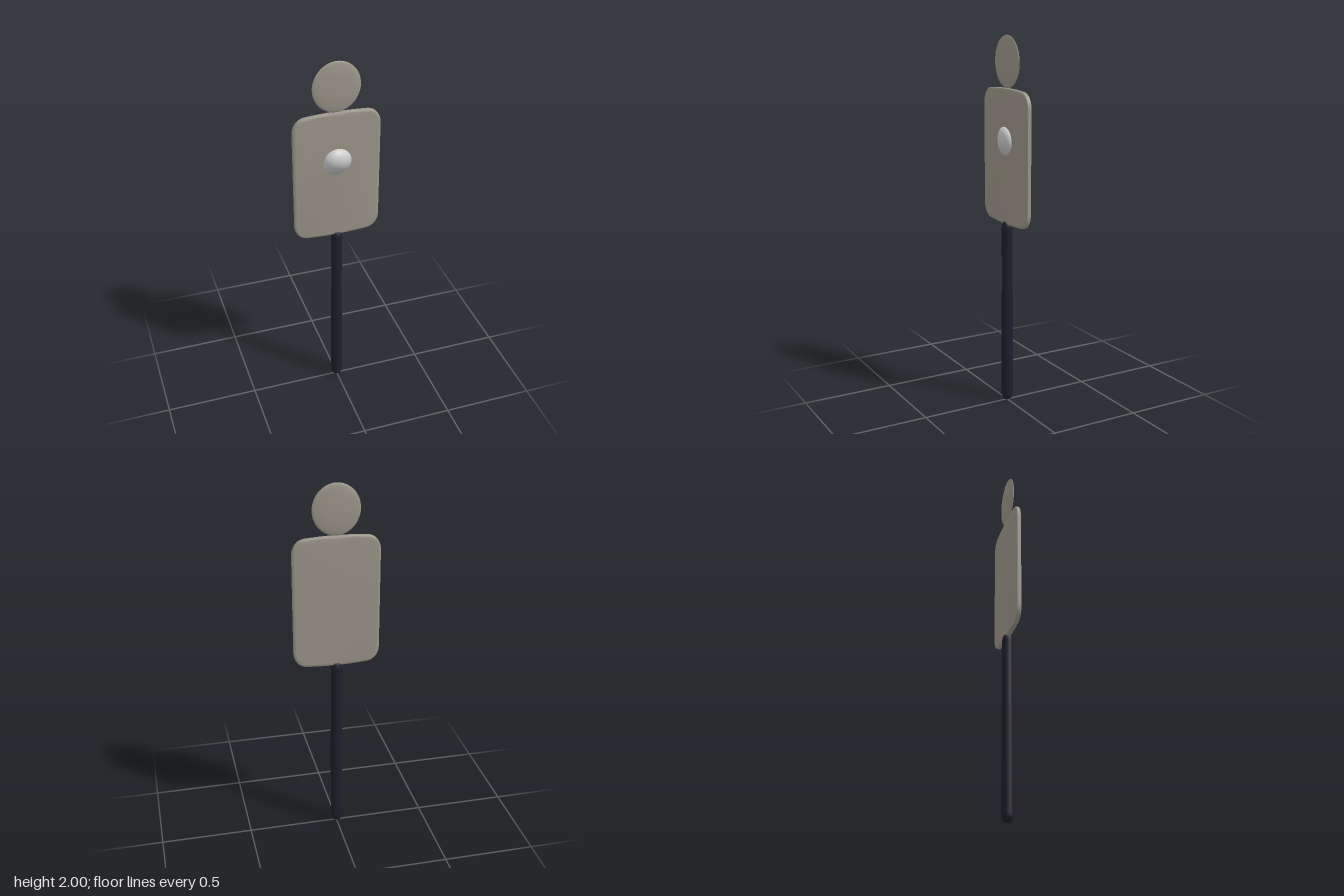
import * as THREE from 'three';
import { toCreasedNormals } from 'three/addons/utils/BufferGeometryUtils.js';

function material(name, color) {
  const m = new THREE.MeshStandardMaterial({ color });
  m.name = name;
  return m;
}

// Soft-cornered board outline, slightly bowed along top and bottom
function boardShape(w, bottom, top) {
  const cx = 0.065, cy = 0.08, bow = 0.006;
  const s = new THREE.Shape();
  const corner = (x0, y0, x1, y1, x2, y2) =>
    s.bezierCurveTo(x0, y0, x1, y1, x2, y2);
  s.moveTo(-w + cx, bottom + bow);
  s.quadraticCurveTo(0, bottom - bow, w - cx, bottom + bow);
  corner(w - 0.02, bottom + bow, w, bottom + 0.04, w, bottom + cy);
  s.lineTo(w, top - cy);
  corner(w, top - 0.04, w - 0.02, top - bow, w - cx, top - bow);
  s.quadraticCurveTo(0, top + bow, -w + cx, top - bow);
  corner(-w + 0.02, top - bow, -w, top - 0.04, -w, top - cy);
  s.lineTo(-w, bottom + cy);
  corner(-w, bottom + 0.04, -w + 0.02, bottom + bow, -w + cx, bottom + bow);
  return s;
}

export function createModel() {
  const group = new THREE.Group();
  const grey = material('warm grey', 0x9c968a);
  const dark = material('dark navy', 0x1e1e2a);
  const silver = material('silver', 0xcccccc);

  const add = (name, geometry, mat, x = 0, y = 0, z = 0) => {
    const mesh = new THREE.Mesh(geometry, mat);
    mesh.name = name;
    mesh.position.set(x, y, z);
    group.add(mesh);
    return mesh;
  };

  // Flat torso board with rounded rim
  const bevel = 0.014;
  const board = new THREE.ExtrudeGeometry(boardShape(0.232 - bevel, 1.005 + bevel, 1.729 - bevel), {
    depth: 0.012, bevelEnabled: true, bevelThickness: 0.008, bevelSize: bevel,
    bevelSegments: 4, curveSegments: 10,
  });
  board.translate(0, 0, -0.006);
  add('torsoBoard', toCreasedNormals(board, 0.7), grey);

  // Lens-shaped head
  const head = new THREE.SphereGeometry(1, 40, 24);
  head.scale(0.126, 0.136, 0.014);
  add('headDisc', head, grey, 0, 1.864, 0);

  // Target button: squashed dome that keeps its round normals
  const button = new THREE.SphereGeometry(0.075, 32, 20);
  const p = button.attributes.position;
  for (let i = 0; i < p.count; i++) p.setZ(i, p.getZ(i) * 0.04);
  add('targetButton', button, silver, 0, 1.453, 0.0165);

  // Round-ended handle, a little slimmer above the grip
  const profile = [
    [0, 0], [0.012, 0.002], [0.023, 0.01], [0.03, 0.025], [0.032, 0.045],
    [0.032, 0.615], [0.029, 0.63],
    [0.029, 0.985], [0.026, 1.005], [0.018, 1.018], [0, 1.023],
  ].map(([r, y]) => new THREE.Vector2(r, y));
  add('handle', new THREE.LatheGeometry(profile, 14), dark);

  return group;
}
